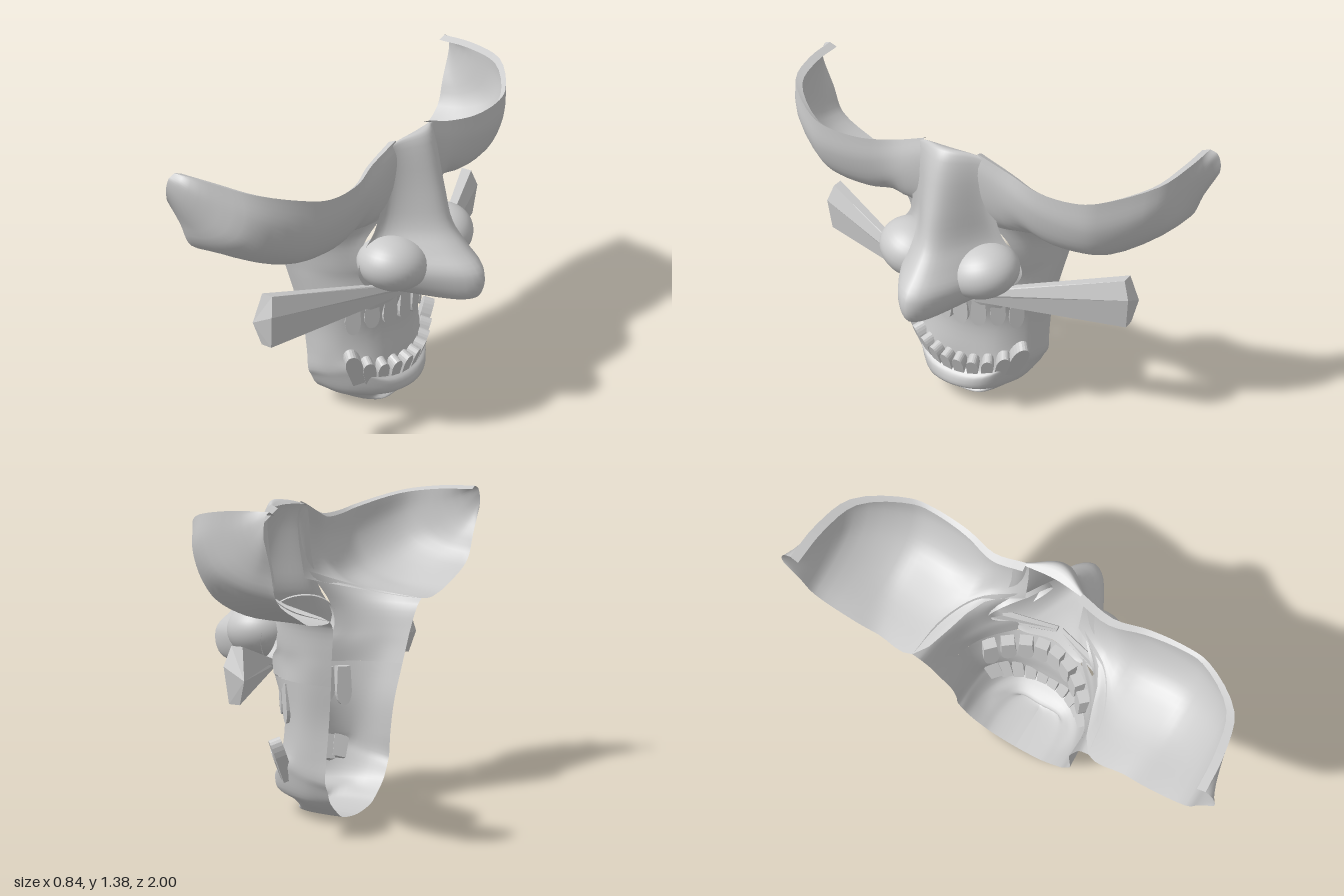
import * as THREE from 'three';

const skinMat = new THREE.MeshStandardMaterial({ color: 0xcccccc, side: THREE.DoubleSide });
const flatMat = new THREE.MeshStandardMaterial({ color: 0xcccccc, side: THREE.DoubleSide, flatShading: true });
const V = (x, y, z) => new THREE.Vector3(x, y, z);

// Smooth sheet through rows of control points
function sheet(rows, nu, nv) {
  const smooth = (pts, n) => {
    const c = new THREE.CatmullRomCurve3(pts);
    return Array.from({ length: n + 1 }, (_, i) => c.getPoint(i / n));
  };
  const fine = rows.map((r) => smooth(r, nu));
  const cols = fine[0].map((_, i) => smooth(fine.map((r) => r[i]), nv));
  const pos = [], idx = [];
  cols.forEach((c) => c.forEach((p) => pos.push(p.x, p.y, p.z)));
  const m = nv + 1;
  for (let i = 0; i < nu; i++) {
    for (let j = 0; j < nv; j++) {
      const a = i * m + j;
      idx.push(a, a + 1, a + m, a + 1, a + m + 1, a + m);
    }
  }
  const g = new THREE.BufferGeometry();
  g.setAttribute('position', new THREE.Float32BufferAttribute(pos, 3));
  g.setIndex(idx);
  g.computeVertexNormals();
  return g;
}

const flip = (p, s) => V(p.x, p.y, p.z * s);

export function createModel() {
  const model = new THREE.Group();
  const add = (name, geo, mat = skinMat) => {
    const m = new THREE.Mesh(geo, mat);
    m.name = name;
    model.add(m);
    return m;
  };
  const addPair = (name, rows, nu, nv) => {
    for (const s of [1, -1]) {
      add((s > 0 ? 'left' : 'right') + name, sheet(rows.map((r) => r.map((p) => flip(p, s))), nu, nv));
    }
  };

  // Brow wings: sections [z, then x, y pairs from top edge to back edge]
  const wing = [
    [0.13, 0.06, 1.342, 0.075, 1.27, 0.07, 1.17, 0.055, 1.08, 0.04, 1.0],
    [0.28, 0.05, 1.285, 0.065, 1.2, 0.055, 1.1, 0.01, 1.0, -0.05, 0.96],
    [0.43, 0.09, 1.268, 0.085, 1.15, 0.02, 1.0, -0.15, 0.93, -0.39, 0.905],
    [0.6, 0.1, 1.275, 0.09, 1.14, 0.02, 1.0, -0.15, 0.935, -0.39, 0.91],
    [0.7, 0.08, 1.295, 0.07, 1.15, 0.0, 1.02, -0.15, 0.95, -0.4, 0.945],
    [0.89, -0.07, 1.355, -0.06, 1.24, -0.12, 1.13, -0.25, 1.07, -0.41, 1.04],
    [0.94, -0.25, 1.378, -0.25, 1.3, -0.29, 1.22, -0.35, 1.17, -0.415, 1.16],
  ].map(([z, ...v]) => [0, 2, 4, 6, 8].map((i) => V(v[i], v[i + 1], z)));
  wing.push([V(-0.415, 1.38, 0.95), V(-0.418, 1.368, 0.98), V(-0.42, 1.345, 0.993),
    V(-0.42, 1.315, 1), V(-0.42, 1.28, 0.998)]);
  addPair('BrowWing', wing, 20, 28);

  // Turned-in lip along the top of each wing
  const rim = wing.map(([p]) => p);
  const rimBack = rim.map((p) => V(p.x - 0.04 * (1 - p.z), p.y - 0.015, p.z - 0.04 * p.z * p.z));
  addPair('BrowRim', [rim, rimBack], 28, 1);

  // Cheeks between the brow and the mouth, left open behind the nostrils
  addPair('Cheek', [
    [V(-0.345, 0.62, 0.335), V(-0.22, 0.62, 0.33), V(-0.1, 0.62, 0.28), V(0.03, 0.62, 0.16)],
    [V(-0.355, 0.69, 0.35), V(-0.23, 0.69, 0.34), V(-0.1, 0.69, 0.28), V(0.03, 0.69, 0.17)],
    [V(-0.365, 0.76, 0.365), V(-0.24, 0.76, 0.35), V(-0.13, 0.76, 0.31), V(-0.04, 0.76, 0.25)],
    [V(-0.385, 0.87, 0.395), V(-0.24, 0.87, 0.37), V(-0.12, 0.87, 0.32), V(-0.03, 0.87, 0.25)],
    [V(-0.39, 0.905, 0.43), V(-0.2, 0.932, 0.4), V(-0.05, 0.975, 0.31), V(0.035, 1.03, 0.16)],
  ], 14, 16);

  // Jaw, mouth lining, lower lip and chin: [y, then x, z pairs from back edge to middle]
  const jaw = [
    [0.62, -0.345, 0.335, -0.22, 0.33, -0.1, 0.28, 0.02, 0.17, 0.06, 0],
    [0.45, -0.32, 0.305, -0.2, 0.305, -0.12, 0.27, -0.03, 0.17, 0.015, 0],
    [0.3, -0.305, 0.3, -0.2, 0.3, -0.115, 0.27, -0.02, 0.17, 0.015, 0],
    [0.2, -0.3, 0.3, -0.2, 0.295, -0.08, 0.26, 0, 0.17, 0.02, 0],
    [0.16, -0.3, 0.28, -0.19, 0.28, -0.06, 0.24, 0.035, 0.14, 0.06, 0],
    [0.11, -0.298, 0.255, -0.18, 0.25, -0.07, 0.21, 0.03, 0.13, 0.065, 0],
    [0.075, -0.297, 0.22, -0.18, 0.22, -0.1, 0.18, -0.04, 0.12, -0.02, 0],
    [0.045, -0.296, 0.18, -0.2, 0.18, -0.1, 0.15, -0.07, 0.1, -0.07, 0],
    [0.02, -0.295, 0.14, -0.2, 0.14, -0.1, 0.12, -0.05, 0.08, -0.04, 0],
    [0.004, -0.295, 0.06, -0.2, 0.06, -0.12, 0.05, -0.08, 0.03, -0.06, 0],
    [0.0, -0.295, 0, -0.2, 0, -0.14, 0, -0.1, 0, -0.08, 0],
  ].map(([y, ...v]) => {
    // The lip climbs towards the mouth corners
    const rise = y > 0.12 && y < 0.25 ? [0, 0.02, 0.05, 0.01, 0] : [0, 0, 0, 0, 0];
    const half = rise.map((r, i) => V(v[2 * i], y + r, v[2 * i + 1]));
    return [...half, ...half.slice(0, -1).reverse().map((p) => flip(p, -1))];
  });
  add('jaw', sheet(jaw, 32, 40));

  // Long nose: bell-shaped sections [y, ridge x, base x, half width, drop at the sides]
  const nose = [
    [1.335, 0.06, 0.05, 0.16, 0.01], [1.355, 0.115, 0.055, 0.17, 0.035], [1.31, 0.15, 0.055, 0.19, 0.02],
    [1.1, 0.21, 0.045, 0.2, 0], [0.95, 0.255, 0.02, 0.23, 0], [0.86, 0.33, 0.0, 0.29, 0],
    [0.78, 0.41, 0.0, 0.32, 0], [0.71, 0.42, 0.01, 0.28, 0], [0.655, 0.395, 0.03, 0.22, -0.015],
    [0.63, 0.33, 0.03, 0.19, -0.03], [0.627, 0.2, 0.03, 0.17, -0.03], [0.622, 0.06, 0.02, 0.16, -0.02],
  ].map(([y, ridge, base, w, drop]) => Array.from({ length: 13 }, (_, i) => {
    const t = i / 6 - 1;
    return V(base + (ridge - base) * (0.5 + 0.5 * Math.cos(Math.PI * t)), y - drop * t * t, w * t);
  }));
  add('nose', sheet(nose, 28, 44));

  for (const s of [1, -1]) {
    const side = s > 0 ? 'left' : 'right';

    // Flared nostril, hollow behind and open underneath, rising outwards
    const nostril = add(side + 'Nostril',
      new THREE.SphereGeometry(1, 24, 16, Math.PI * 0.2, Math.PI * 0.95, 0, Math.PI * 0.88));
    nostril.position.set(0.075, 0.8, 0.17 * s);
    nostril.scale.set(0.155, 0.122, 0.163 * s);
    nostril.rotation.x = -0.25 * s;

    // Tapered faceted moustache bar
    const end = [[-0.2, 0.7, 0.78], [-0.172, 0.83, 0.745], [-0.12, 0.83, 0.745],
      [-0.102, 0.75, 0.775], [-0.12, 0.6, 0.765], [-0.17, 0.6, 0.765]].map((p) => V(...p));
    const pos = [], idx = [];
    const inner = end.map((p) => V(0.11 + (p.x + 0.15) * 0.3, 0.635 + (p.y - 0.7) * 0.1, 0.01));
    [...inner, ...end].forEach((p) => pos.push(p.x, p.y, p.z * s));
    const tri = (a, b, c) => (s > 0 ? idx.push(a, c, b) : idx.push(a, b, c));
    for (let i = 0; i < 6; i++) {
      const j = (i + 1) % 6;
      tri(i, j, i + 6);
      tri(j, j + 6, i + 6);
      if (i > 0 && i < 5) {
        tri(0, i + 1, i);
        tri(6, i + 6, i + 7);
      }
    }
    const bar = new THREE.BufferGeometry();
    bar.setAttribute('position', new THREE.Float32BufferAttribute(pos, 3));
    bar.setIndex(idx);
    bar.computeVertexNormals();
    add(side + 'MoustacheBar', bar, flatMat);
  }

  // Round-ended teeth set along the mouth curve
  const tooth = (name, z, y, w, len, x0, bend, tilt, roll) => {
    const s = new THREE.Shape();
    s.moveTo(-w * 0.42, 0);
    s.lineTo(-w / 2, len * 0.65);
    s.quadraticCurveTo(-w * 0.42, len, 0, len);
    s.quadraticCurveTo(w * 0.42, len, w / 2, len * 0.65);
    s.lineTo(w * 0.42, 0);
    const g = new THREE.ExtrudeGeometry(s, { depth: 0.05, bevelEnabled: false, curveSegments: 5 });
    g.translate(0, 0, -0.025);
    const m = add(name, g, flatMat);
    m.position.set(x0 - bend * z * z, y, z);
    m.rotation.order = 'YXZ';
    m.rotation.set(tilt, Math.atan2(1, 2 * bend * z), roll);
  };
  for (const s of [1, -1]) {
    [[0.037, 0.15], [0.11, 0.15], [0.18, 0.15], [0.242, 0.175]].forEach(([z, len]) =>
      tooth('upperTooth', z * s, 0.602, 0.07, len, 0.03, 2.1, 0.05, Math.PI));
    [[0.028, 0.17, 0.11, 0.055, 0], [0.084, 0.17, 0.115, 0.055, 0.05], [0.138, 0.175, 0.12, 0.056, 0.1],
      [0.185, 0.18, 0.14, 0.06, 0.2], [0.225, 0.185, 0.2, 0.075, 0.28]].forEach(([z, y, len, w, roll]) =>
      tooth('lowerTooth', z * s, y, w, len, 0.015, 1.8, 0.35, roll * s));
  }
  return model;
}
